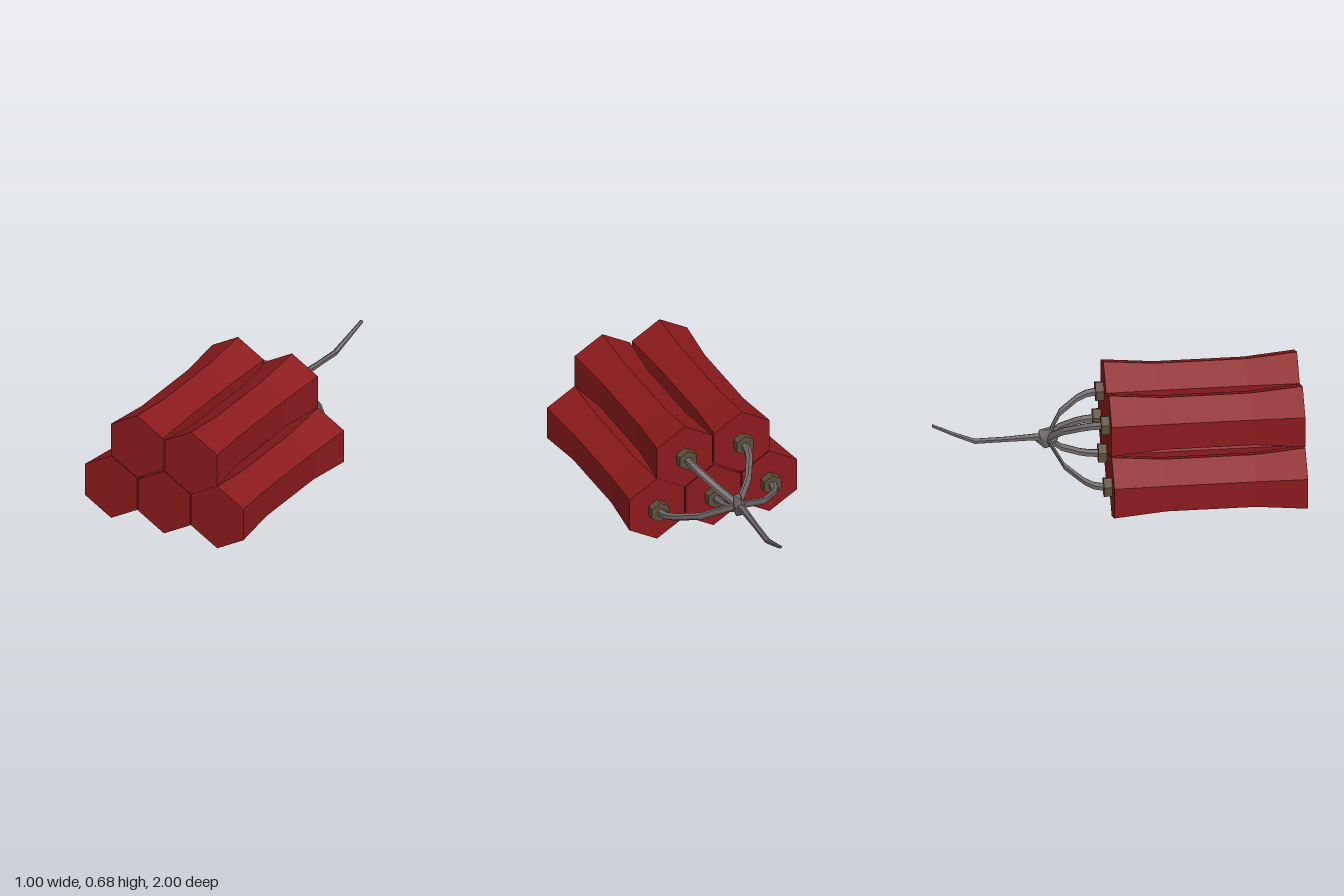
import * as THREE from 'three';

const material = (color) => new THREE.MeshStandardMaterial({ color, flatShading: true });

// Closed loft through hexagonal rings parallel to xy; sections [x, y, z, r] run from high z to low z.
function loft(sections, sides = 6) {
  const pos = [], index = [];
  for (const [x, y, z, r] of sections)
    for (let j = 0; j < sides; j++) {
      const a = Math.PI / 2 + (j / sides) * Math.PI * 2;
      pos.push(x + Math.cos(a) * r, y + Math.sin(a) * r, z);
    }
  const last = (sections.length - 1) * sides;
  for (let i = 0; i < last; i += sides)
    for (let j = 0; j < sides; j++) {
      const k = (j + 1) % sides;
      index.push(i + j, i + sides + j, i + k, i + k, i + sides + j, i + sides + k);
    }
  for (let j = 1; j < sides - 1; j++) {
    index.push(0, j, j + 1);
    index.push(last, last + j + 1, last + j);
  }
  const geo = new THREE.BufferGeometry();
  geo.setAttribute('position', new THREE.Float32BufferAttribute(pos, 3));
  geo.setIndex(index);
  const flat = geo.toNonIndexed();
  flat.computeVertexNormals();
  return flat;
}

export function createModel() {
  const model = new THREE.Group();
  model.name = 'stickBundle';
  const red = material(0x8b1a1c);
  const brown = material(0x5c4e38);
  const grey = material(0x6e6767);

  const add = (name, geometry, mat) => {
    const mesh = new THREE.Mesh(geometry, mat);
    mesh.name = name;
    model.add(mesh);
    return mesh;
  };

  const knot = [0, 0.31, -0.375];
  // Wire bend: z and the share of the sideways offset left at that depth
  const bend = [[-0.09, 1], [-0.15, 0.96], [-0.2, 0.87], [-0.3, 0.56], [-0.38, 0]];
  // Three sticks below, two resting on top
  const centres = [[-0.338, 0.195], [-0.003, 0.193], [0.335, 0.195], [-0.173, 0.488], [0.169, 0.482]];

  centres.forEach(([x, y], i) => {
    // Waisted hexagonal stick
    add(`stick${i + 1}`, loft([
      [x, y, 1, 0.191], [x, y, 0.72, 0.164], [x, y, 0.23, 0.164], [x, y, -0.055, 0.191],
    ]), red);
    // Fuse socket on the back end
    add(`socket${i + 1}`, loft([[x, y, -0.05, 0.058], [x, y, -0.1, 0.058]]), brown);
    // Wire curving in to the knot
    add(`wire${i + 1}`, loft(bend.map(([z, s]) =>
      [knot[0] + (x - knot[0]) * s, knot[1] + (y - knot[1]) * s, z, 0.023])), grey);
  });

  // Flattened knot joining the wires
  const knotMesh = add('knot', new THREE.IcosahedronGeometry(0.072, 0).rotateX(0.3), grey);
  knotMesh.scale.set(0.46, 1, 0.93);
  knotMesh.position.set(...knot);

  // Single long fuse trailing behind
  add('fuse', loft([
    [0, 0.315, -0.38, 0.026], [0, 0.318, -0.45, 0.02], [0.003, 0.31, -0.6, 0.016],
    [0.008, 0.304, -0.77, 0.016], [0.02, 0.347, -0.88, 0.013], [0.037, 0.4, -1, 0.01],
  ]), grey);

  return model;
}
